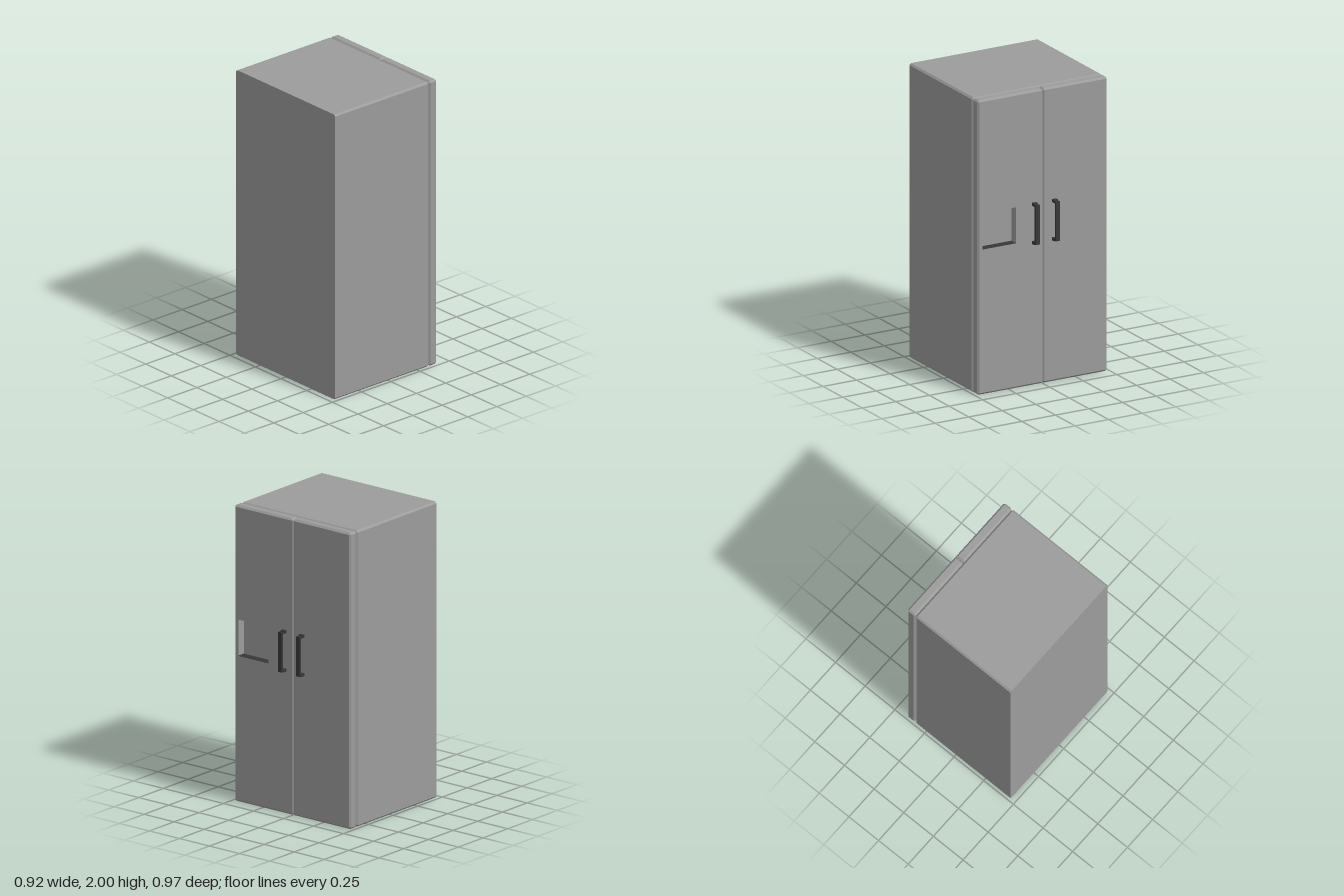
import * as THREE from 'three';
import { mergeGeometries } from 'three/addons/utils/BufferGeometryUtils.js';

const grey = new THREE.MeshStandardMaterial({ color: 0x9c9c9c, flatShading: true });
const dark = new THREE.MeshStandardMaterial({ color: 0x383838, flatShading: true });
const BEVEL = 0.012;

// Rectangle [x0, x1, y0, y1] with its corners cut by c, anticlockwise.
function outline([x0, x1, y0, y1], c = 0) {
  return [
    [x0 + c, y0], [x1 - c, y0], [x1, y0 + c], [x1, y1 - c],
    [x1 - c, y1], [x0 + c, y1], [x0, y1 - c], [x0, y0 + c],
  ].map(p => new THREE.Vector2(...p));
}

const inset = ([x0, x1, y0, y1], d) => [x0 + d, x1 - d, y0 + d, y1 - d];

// Walls joining successive outlines; each section is { pts, z }.
function walls(sections) {
  const pos = [];
  for (let s = 0; s + 1 < sections.length; s++) {
    const a = sections[s], b = sections[s + 1], n = a.pts.length;
    for (let i = 0; i < n; i++) {
      const j = (i + 1) % n;
      const q = [[a, i], [a, j], [b, j], [a, i], [b, j], [b, i]];
      for (const [sec, k] of q) pos.push(sec.pts[k].x, sec.pts[k].y, sec.z);
    }
  }
  const g = new THREE.BufferGeometry();
  g.setAttribute('position', new THREE.Float32BufferAttribute(pos, 3));
  g.computeVertexNormals();
  return g;
}

// Flat end face, optionally with a hole.
function cap(rect, cut, z, back = false, hole = null) {
  const shape = new THREE.Shape(outline(rect, cut).filter((p, i, all) => !p.equals(all[(i + 1) % 8])));
  if (hole) {
    const [x0, x1, y0, y1] = hole;
    shape.holes.push(new THREE.Path([[x0, y0], [x0, y1], [x1, y1], [x1, y0]].map(p => new THREE.Vector2(...p))));
  }
  let g = new THREE.ShapeGeometry(shape);
  if (back) {
    const idx = g.index.array;
    for (let i = 0; i < idx.length; i += 3) [idx[i], idx[i + 1]] = [idx[i + 1], idx[i]];
  }
  g = g.toNonIndexed().translate(0, 0, z);
  g.deleteAttribute('uv');
  g.computeVertexNormals();
  return g;
}

// Box with bevelled edges; the back or the front right edge can stay sharp,
// and the front can have a recess.
function bevelBox(rect, z0, z1, { sharpBack = false, sharpRight = false, recess = null, depth = 0 } = {}) {
  const small = inset(rect, BEVEL), front = [...small];
  if (sharpRight) front[1] = rect[1];
  const full = outline(rect, BEVEL);
  const sections = [
    { pts: full, z: sharpBack ? z0 : z0 + BEVEL },
    { pts: full, z: z1 - BEVEL },
    { pts: outline(front), z: z1 },
  ];
  if (!sharpBack) sections.unshift({ pts: outline(small), z: z0 });
  const parts = [
    walls(sections),
    sharpBack ? cap(rect, BEVEL, z0, true) : cap(small, 0, z0, true),
    cap(front, 0, z1, false, recess),
  ];
  if (recess) {
    const pts = outline(recess);
    parts.push(walls([{ pts, z: z1 }, { pts, z: z1 - depth }]), cap(recess, 0, z1 - depth));
  }
  return mergeGeometries(parts);
}

// C-shaped handle profile (depth, height) extruded across its width.
function handleGeometry(width) {
  const profile = [
    [0.408, 0.96], [0.436, 0.96], [0.436, 0.966], [0.461, 0.966],
    [0.461, 1.234], [0.436, 1.234], [0.436, 1.24], [0.408, 1.24],
    [0.408, 1.22], [0.446, 1.22], [0.446, 0.98], [0.408, 0.98],
  ].map(p => new THREE.Vector2(...p));
  return new THREE.ExtrudeGeometry(new THREE.Shape(profile), { depth: width, bevelEnabled: false })
    .translate(0, 0, -width / 2)
    .rotateY(-Math.PI / 2);
}

function add(parent, name, geometry, material) {
  const mesh = new THREE.Mesh(geometry, material);
  mesh.name = name;
  parent.add(mesh);
  return mesh;
}

export function createModel() {
  const model = new THREE.Group();
  model.name = 'refrigerator';

  // Built facing +z, then turned so the doors face +x
  const fridge = new THREE.Group();
  fridge.name = 'fridge';
  fridge.rotation.y = Math.PI / 2;
  model.add(fridge);

  // Cabinet
  add(fridge, 'cabinet', bevelBox([-0.483, 0.483, 0, 2], -0.461, 0.343, { sharpBack: true }), grey);

  // Doors, one with the dispenser recess
  add(fridge, 'dispenserDoor', bevelBox([-0.483, 0, 0, 2], 0.345, 0.411,
    { sharpRight: true, recess: [-0.45, -0.2, 0.985, 1.23], depth: 0.056 }), grey);
  add(fridge, 'plainDoor', bevelBox([0.001, 0.483, 0, 2], 0.345, 0.411), grey);

  // Dark tray on the recess floor
  const tray = add(fridge, 'dispenserTray', new THREE.BoxGeometry(0.25, 0.002, 0.055), dark);
  tray.position.set(-0.325, 0.986, 0.383);

  // Handles
  for (const [name, x] of [['dispenserDoorHandle', -0.065], ['plainDoorHandle', 0.085]]) {
    add(fridge, name, handleGeometry(0.03), dark).position.x = x;
  }
  return model;
}
